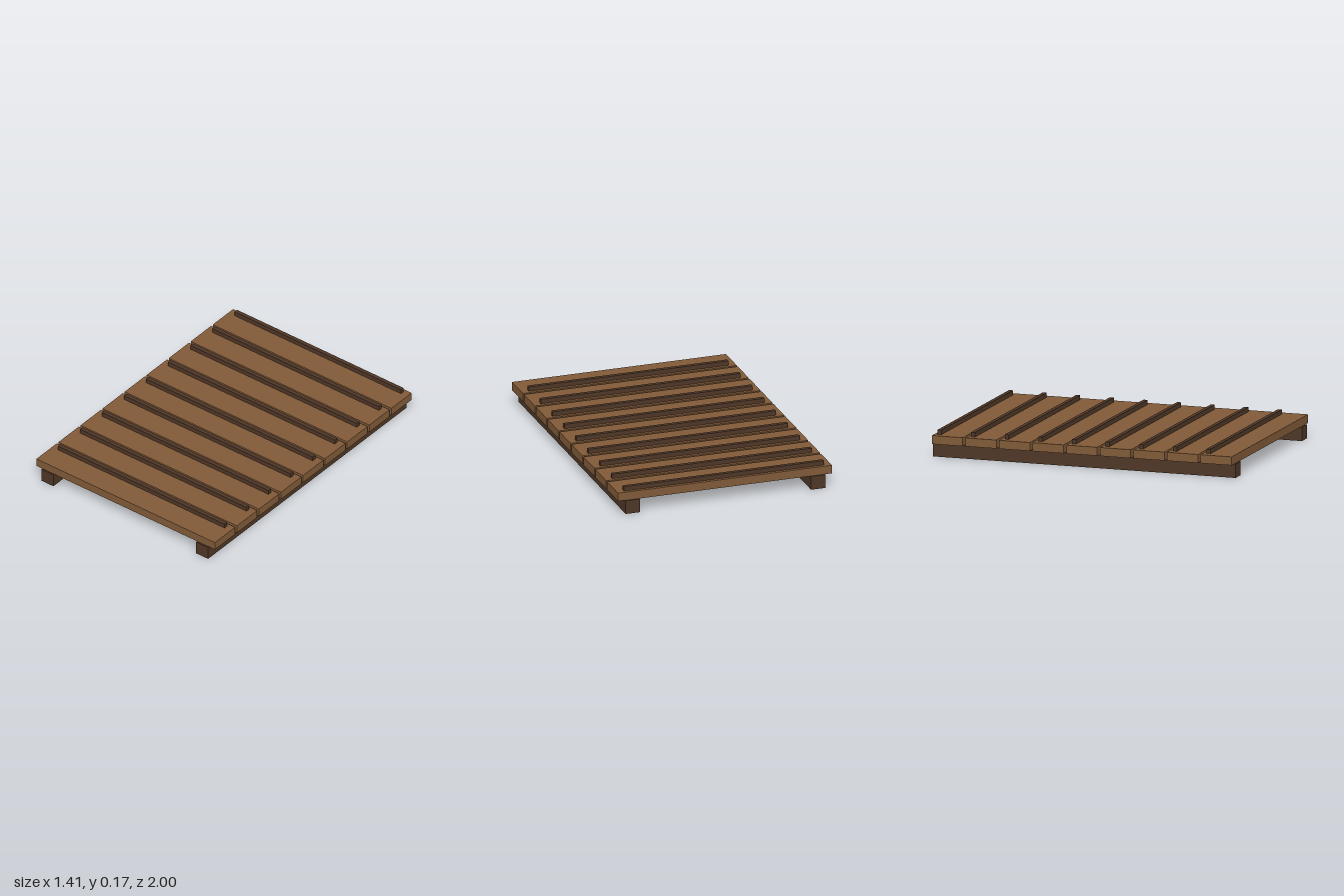
import * as THREE from 'three';

const LENGTH = 2;
const PLANKS = 9;
const PITCH = LENGTH / PLANKS;
const JOIST_TOP = 0.088;
const PLANK_TOP = 0.142;
const CLEAT_TOP = 0.171;

export function createModel() {
  const model = new THREE.Group();
  model.name = 'slattedRamp';

  const plankWood = new THREE.MeshStandardMaterial({ color: 0x805a38 });
  const darkWood = new THREE.MeshStandardMaterial({ color: 0x4e3626 });

  // Box resting between two heights
  const addBeam = (name, material, width, depth, bottom, top, x, z) => {
    const beam = new THREE.Mesh(new THREE.BoxGeometry(width, top - bottom, depth), material);
    beam.name = name;
    beam.position.set(x, (bottom + top) / 2, z);
    model.add(beam);
  };

  // Two long joists underneath
  for (const side of [-1, 1]) {
    const name = side > 0 ? 'leftJoist' : 'rightJoist';
    addBeam(name, darkWood, 0.094, LENGTH, 0, JOIST_TOP, side * 0.612, 0);
  }

  // Cross planks, each with a raised grip cleat towards its back edge
  for (let i = 0; i < PLANKS; i++) {
    const z = (i - (PLANKS - 1) / 2) * PITCH;
    addBeam(`plank${i + 1}`, plankWood, 1.412, 0.204, JOIST_TOP, PLANK_TOP, 0, z);
    addBeam(`cleat${i + 1}`, darkWood, 1.318, 0.026, PLANK_TOP, CLEAT_TOP, 0, z - 0.068);
  }

  return model;
}
